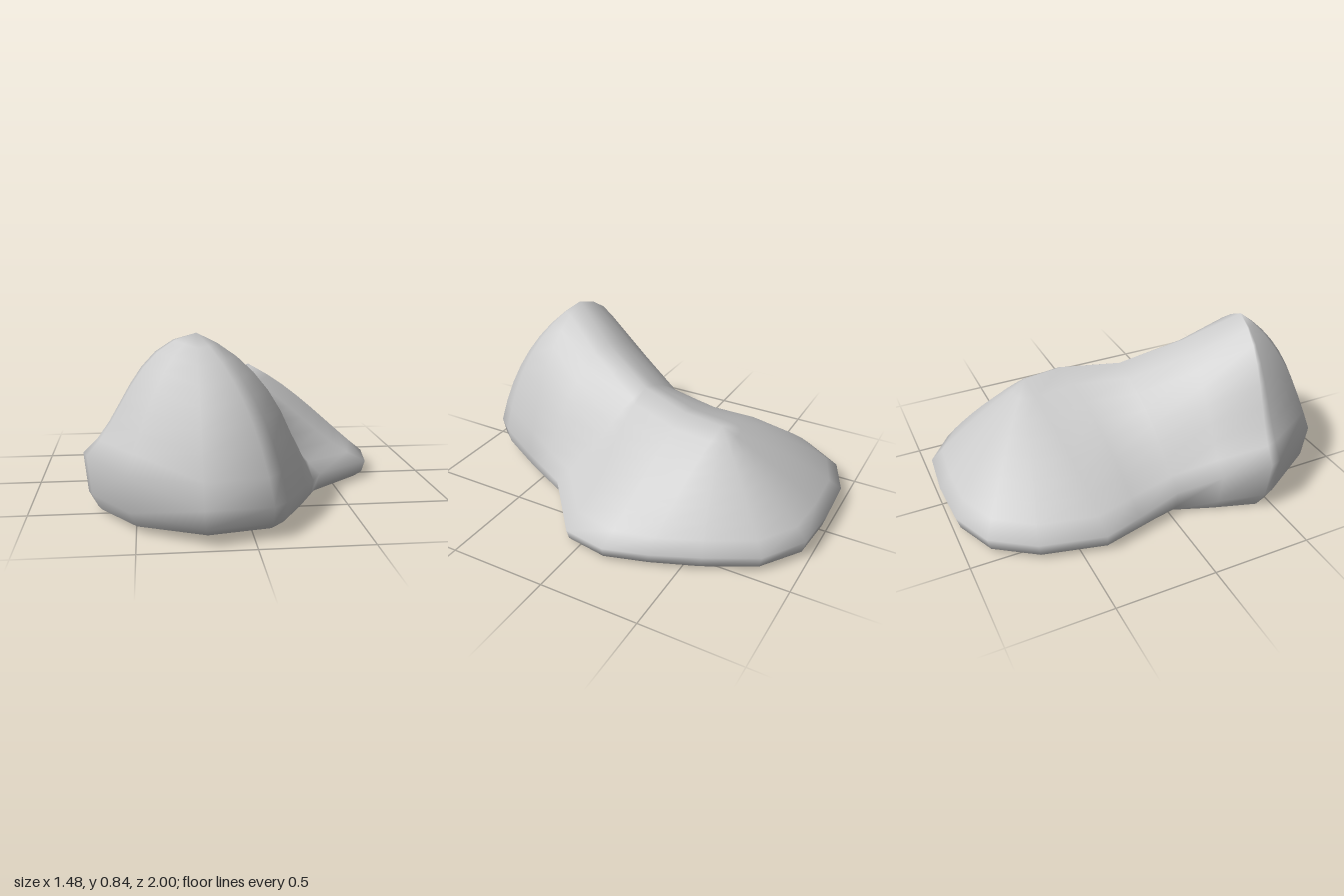
import * as THREE from 'three';
import { mergeVertices } from 'three/addons/utils/BufferGeometryUtils.js';

// Ridge line of the rock, from the rear plateau to the front peak
const ridge = [
  [0.14, 0.525, -0.48],
  [0.14, 0.545, -0.28],
  [0.03, 0.56, 0],
  [-0.1, 0.69, 0.3],
  [-0.22, 0.84, 0.55],
].map((p) => new THREE.Vector3(...p));

// Outline columns: x, z, height of the widest point, ridge index, bulge, flare
const columns = [
  [0, -1, 0.1, 0, 0.1, 0],
  [0.25, -0.98, 0.1, 0, 0.1, 0],
  [0.45, -0.84, 0.09, 0, 0.13, 0],
  [0.58, -0.6, 0.09, 0, 0.16, 0],
  [0.67, -0.37, 0.08, 0, 0.18, 0.05],
  [0.735, -0.16, 0.08, 1, 0.1, 0.1],
  [0.7, 0.06, 0.08, 2, -0.02, 0.2],
  [0.4, 0.32, 0.1, 2, 0, 0.2],
  [0.34, 0.45, 0.11, 3, 0.38, 0.1],
  [0.28, 0.58, 0.12, 4, 0.55, 0],
  [0.15, 0.83, 0.14, 4, 0.52, 0],
  [0.08, 0.92, 0.15, 4, 0.45, 0],
  [-0.22, 0.995, 0.17, 4, 0.36, 0],
  [-0.54, 0.81, 0.27, 4, 0.4, 0.1],
  [-0.72, 0.51, 0.28, 4, 0.32, 0.38],
  [-0.74, 0.45, 0.28, 4, 0.3, 0.45],
  [-0.66, 0.23, 0.22, 3, 0.35, 0.35],
  [-0.58, 0.03, 0.14, 2, 0.32, 0.15],
  [-0.63, -0.2, 0.11, 1, 0.26, 0.05],
  [-0.675, -0.39, 0.1, 0, 0.25, 0],
  [-0.6, -0.7, 0.1, 0, 0.24, 0],
  [-0.46, -0.9, 0.1, 0, 0.2, 0],
  [-0.25, -0.99, 0.1, 0, 0.14, 0],
];

const STEPS = 8;

// Corner point between rim and top: positive bulge pushes it up and outwards
function corner(rim, top, bulge) {
  return new THREE.Vector3(
    THREE.MathUtils.lerp(rim.x, top.x, 0.5 - bulge / 2),
    THREE.MathUtils.lerp(rim.y, top.y, 0.5 + bulge / 2),
    THREE.MathUtils.lerp(rim.z, top.z, 0.5 - bulge / 2),
  );
}

// One column: tucked-under foot, widest point, then a curve up to the ridge;
// flare makes the lower slope hollow and the upper slope full
function columnPoints([x, z, y, index, bulge, flare]) {
  const top = ridge[index];
  const rim = new THREE.Vector3(x, y, z);
  const foot = 0.045 * Math.max(0, z) ** 2;
  const low = rim.clone().lerp(corner(rim, top, bulge - flare), 2 / 3);
  const high = top.clone().lerp(corner(rim, top, bulge + flare), 2 / 3);
  return [
    new THREE.Vector3(x * 0.92, foot, z * 0.94),
    new THREE.Vector3(x * 0.975, foot + (y - foot) * 0.3, z * 0.98),
    ...new THREE.CubicBezierCurve3(rim, low, high, top).getPoints(STEPS),
  ];
}

// Hollow shell skinned around the closed loop of columns
function rockGeometry() {
  const loops = columns.map(columnPoints);
  const rows = loops[0].length;
  const positions = loops.flat().flatMap((p) => p.toArray());
  const indices = [];
  for (let i = 0; i < loops.length; i++) {
    const next = (i + 1) % loops.length;
    for (let j = 0; j < rows - 1; j++) {
      const a = i * rows + j;
      const b = next * rows + j;
      indices.push(a, a + 1, b, b, a + 1, b + 1);
    }
  }
  const raw = new THREE.BufferGeometry();
  raw.setAttribute('position', new THREE.Float32BufferAttribute(positions, 3));
  raw.setIndex(indices);
  const geometry = mergeVertices(raw, 1e-4);
  geometry.computeVertexNormals();
  return geometry;
}

export function createModel() {
  const group = new THREE.Group();
  group.name = 'rock';
  const stone = new THREE.MeshStandardMaterial({ color: 0xcacaca, side: THREE.DoubleSide });
  stone.name = 'grey stone';
  const shell = new THREE.Mesh(rockGeometry(), stone);
  shell.name = 'rockShell';
  group.add(shell);
  return group;
}
